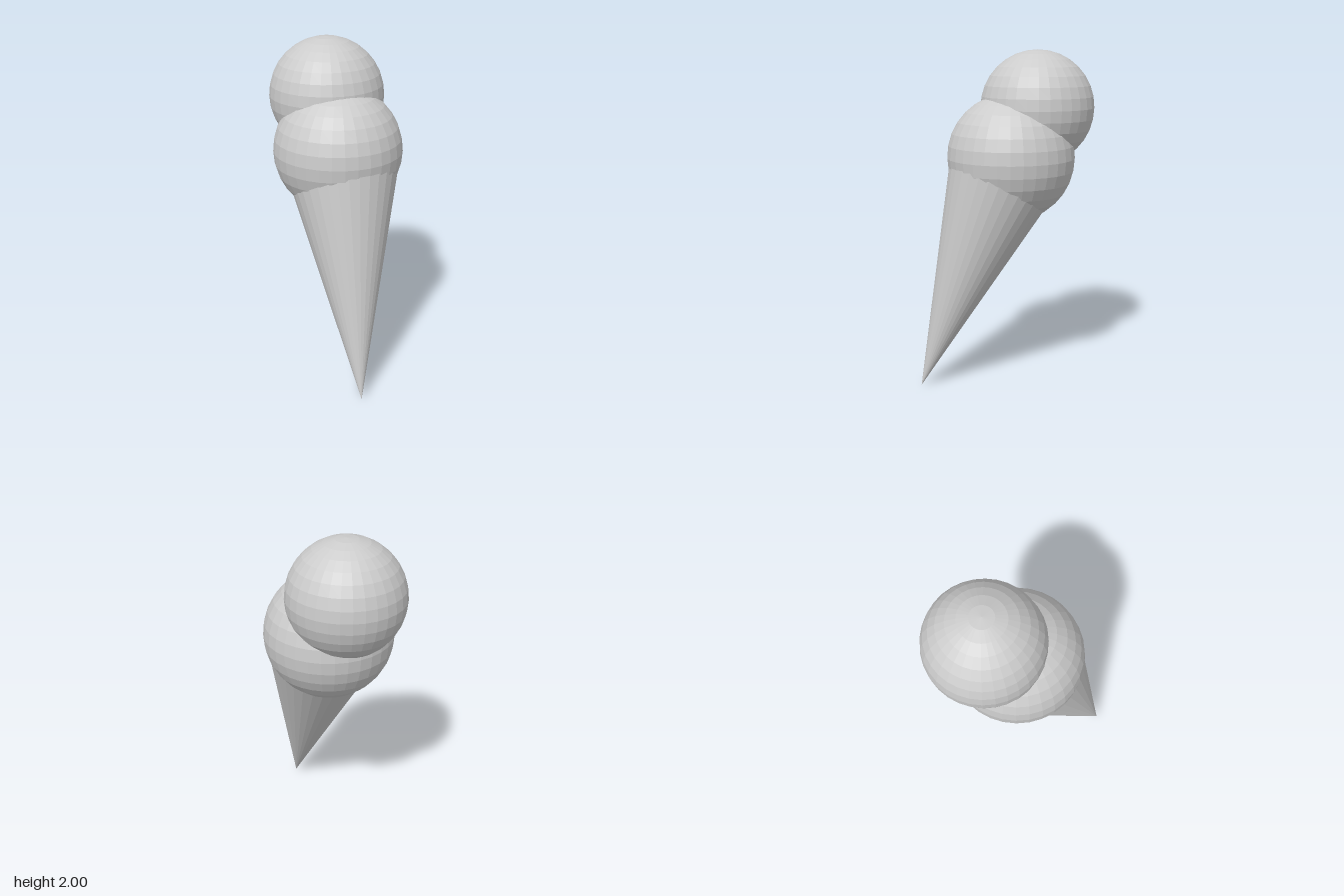
import * as THREE from 'three';

export function createModel() {
  const group = new THREE.Group();
  const material = new THREE.MeshStandardMaterial({ color: 0xcccccc, flatShading: true });

  const add = (name, geometry, position) => {
    const mesh = new THREE.Mesh(geometry, material);
    mesh.name = name;
    mesh.position.copy(position);
    group.add(mesh);
    return mesh;
  };

  // Two overlapping scoops, the upper one set back
  const scoop = (name, radius, x, y, z) =>
    add(name, new THREE.SphereGeometry(radius, 32, 16), new THREE.Vector3(x, y, z));
  scoop('lowerScoop', 0.38, 0, 1.37, -0.02);
  scoop('upperScoop', 0.34, 0.02, 1.66, -0.195);

  // Leaning cone: tip on the ground, rim buried in the lower scoop
  const tip = new THREE.Vector3(-0.145, 0, 0.535);
  const axis = new THREE.Vector3(0.113, 1, -0.392).normalize();
  const height = 1.4;
  const geometry = new THREE.ConeGeometry(0.339, height, 32);
  geometry.rotateX(Math.PI).translate(0, height / 2, 0); // tip at the origin, opening upward
  const cone = add('cone', geometry, tip);
  cone.quaternion.setFromUnitVectors(new THREE.Vector3(0, 1, 0), axis);

  return group;
}
